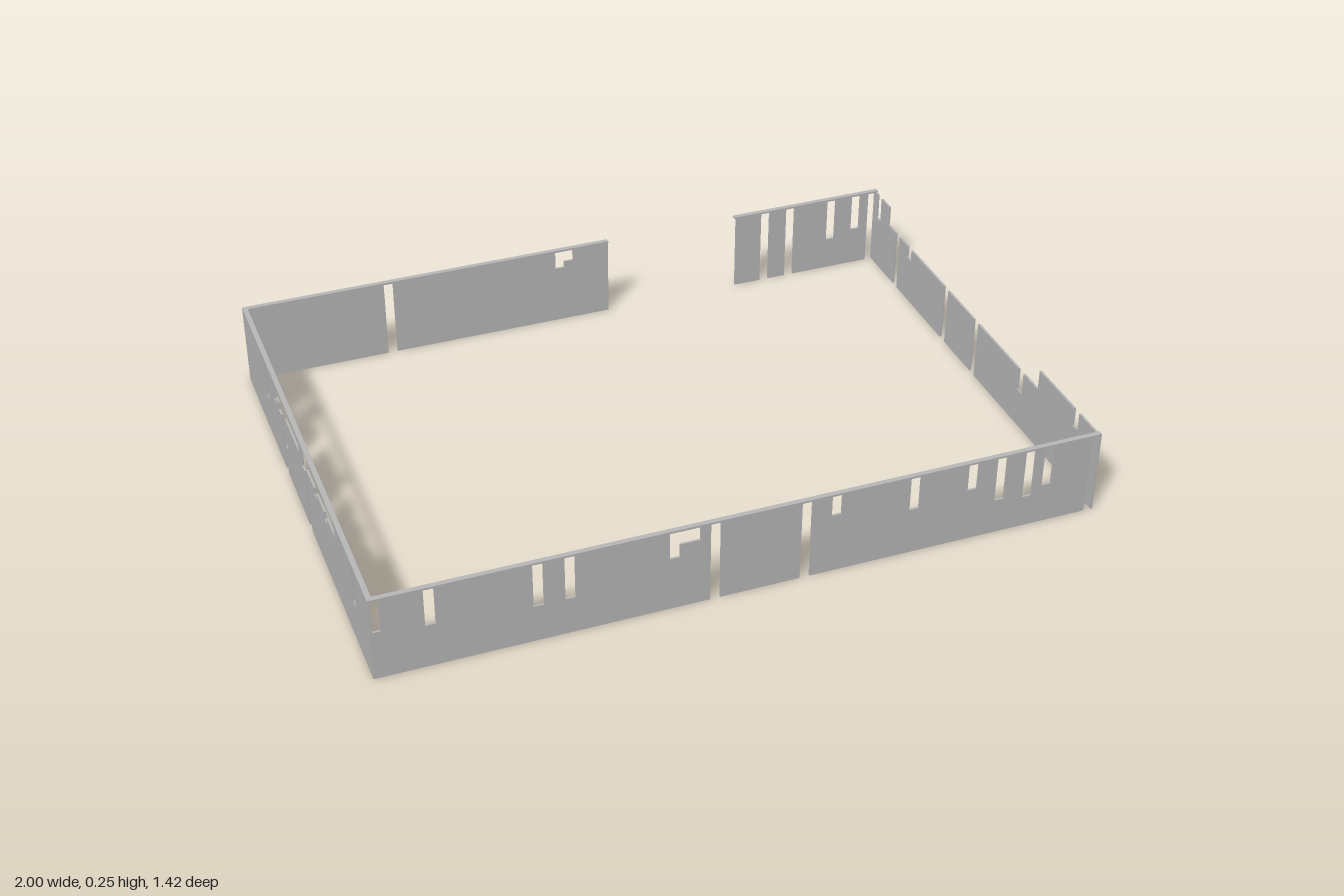
import * as THREE from 'three';

const HALF_X = 1, HALF_Z = 0.708;
const FULL = 0.24, MID = 0.2, LOW = 0.178;
const THICK = 0.006, RAIL_W = 0.014, RAIL_H = 0.006;

export function createModel() {
  const wood = new THREE.MeshStandardMaterial({ color: 0xb8b8b8 });
  wood.name = 'weatheredGrey';
  const root = new THREE.Group();
  root.name = 'plankFence';

  const box = (parent, name, w, h, d, x, y, z) => {
    const m = new THREE.Mesh(new THREE.BoxGeometry(w, h, d), wood);
    m.name = name;
    m.position.set(x, y, z);
    parent.add(m);
  };

  // A wall along local x with its outer face at z = 0 (facing +z).
  // heightAt(i) gives the plank height, 0 for a missing plank.
  function wall(name, length, count, heightAt, rails) {
    const g = new THREE.Group();
    g.name = name;
    const w = length / count;
    for (let i = 0; i < count; i++) {
      const h = heightAt(i);
      if (h > 0) box(g, 'plank', w, h, THICK, -length / 2 + (i + 0.5) * w, h / 2, -THICK / 2);
    }
    for (const [a, b] of rails)
      box(g, 'topRail', b - a, RAIL_H, RAIL_W, (a + b) / 2, FULL + RAIL_H / 2, -RAIL_W / 2);
    root.add(g);
    return g;
  }

  // Front wall, planks counted from -x
  const frontBroken = {
    0: 0.145, 5: 0.13, 15: 0.11, 18: 0.11, 28: 0.16, 29: MID, 30: MID, 32: 0, 41: 0,
    44: 0.18, 52: 0.14, 58: 0.16, 61: 0.105, 64: 0.095, 66: 0.12, 71: 0,
  };
  const front = wall('frontWall', 2 * HALF_X, 72, i => frontBroken[i] ?? FULL, [[-1, 1]]);
  front.position.z = HALF_Z;

  // Back wall with the gate opening, planks counted from -x
  const backBroken = { 15: 0, 34: 0.18, 35: MID, 58: 0, 61: 0, 66: 0.1, 69: 0.12, 71: 0 };
  const backHeight = i => (i >= 40 && i < 55 ? 0 : backBroken[i] ?? FULL);
  const back = wall('backWall', 2 * HALF_X, 72, i => backHeight(71 - i),
    [[-1, -0.52], [-0.11, 1]]);
  back.rotation.y = Math.PI;
  back.position.z = -HALF_Z;

  // Left wall (+x), no rail, planks counted from the front
  const leftBroken = { 4: 0.185, 15: 0.11, 25: 0, 32: 0, 41: 0.14, 44: 0, 49: 0.16 };
  const leftHeight = i => leftBroken[i] ?? (i < 12 || i > 46 ? FULL : LOW);
  const left = wall('leftWall', 2 * HALF_Z, 51, leftHeight, []);
  left.rotation.y = Math.PI / 2;
  left.position.x = HALF_X;

  // Right wall (-x), with rail, planks counted from the front
  const rightBroken = {
    5: 0.12, 15: LOW, 19: LOW, 23: 0, 24: LOW, 25: FULL, 32: 0.095, 33: 0,
    34: LOW, 36: LOW, 40: 0.12,
  };
  const rightHeight = i => rightBroken[i] ?? (i < 12 || i > 36 ? FULL : MID);
  const right = wall('rightWall', 2 * HALF_Z, 51, i => rightHeight(50 - i),
    [[-HALF_Z, HALF_Z]]);
  right.rotation.y = -Math.PI / 2;
  right.position.x = -HALF_X;

  return root;
}
